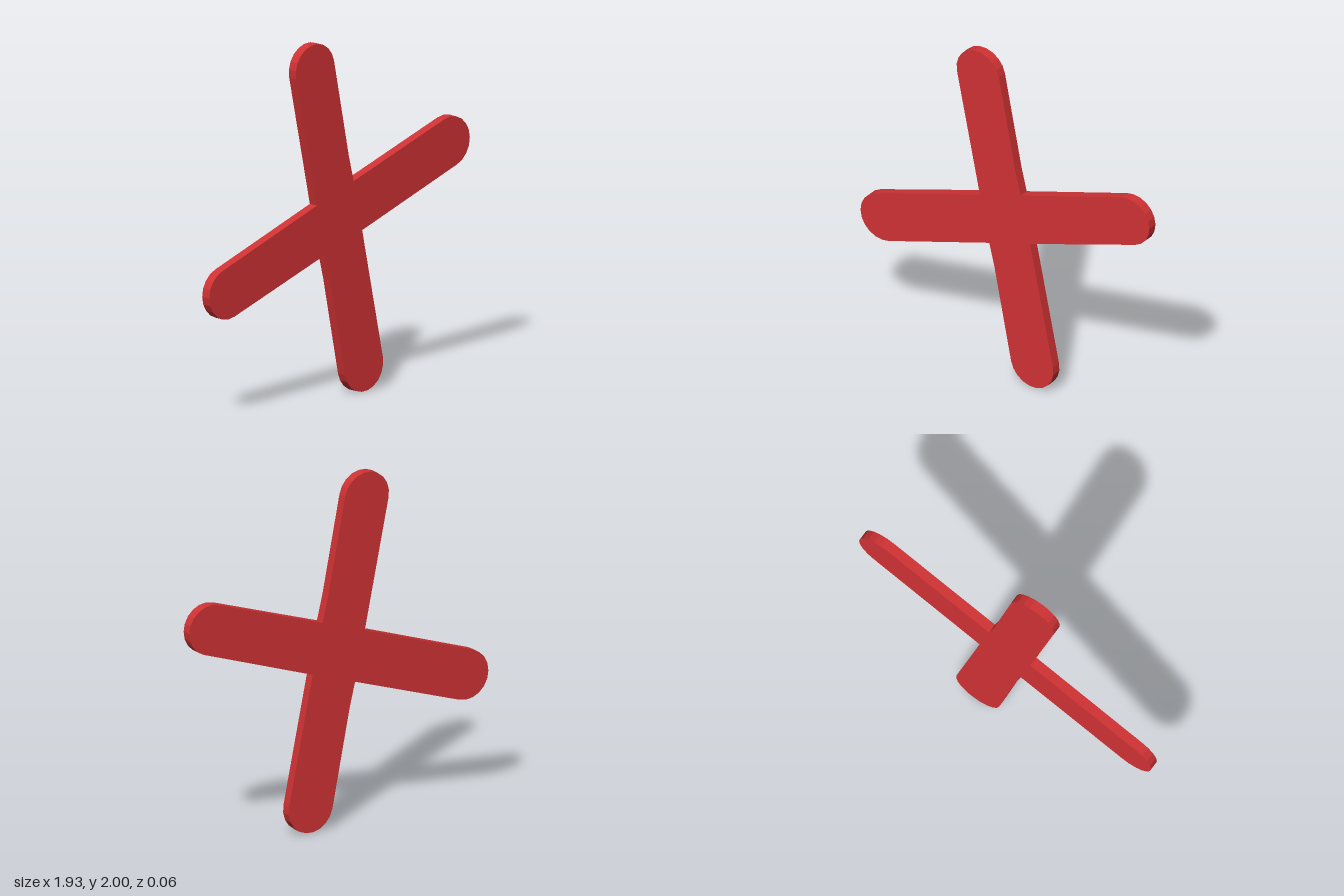
import * as THREE from 'three';

const THICKNESS = 0.056;

// Points of a half-round arm tip, from one tangent angle (degrees) to the opposite one
function roundTip(cx, cy, radius, startDeg, segments = 10) {
  return Array.from({ length: segments + 1 }, (_, i) => {
    const a = THREE.MathUtils.degToRad(startDeg + (180 * i) / segments);
    return new THREE.Vector2(cx + radius * Math.cos(a), cy + radius * Math.sin(a));
  });
}

export function createModel() {
  const model = new THREE.Group();
  model.name = 'tiltedCross';

  // Half of the outline: one side arm and the upper arm, counter-clockwise
  const half = [
    ...roundTip(0.824, 0.284, 0.142, -71),
    new THREE.Vector2(0.105, 0.188), // inner corner
    new THREE.Vector2(0.069, 0.335), // slight bend in the upright
    ...roundTip(-0.181, 0.858, 0.143, 11.5),
    new THREE.Vector2(-0.168, 0.097), // inner corner
  ];

  // The other half is the same outline turned by 180 degrees
  const outline = [...half, ...half.map((p) => p.clone().negate())];

  const geometry = new THREE.ExtrudeGeometry(new THREE.Shape(outline), {
    depth: THICKNESS,
    bevelEnabled: false,
  });
  geometry.translate(0, 0, -THICKNESS / 2);

  const cross = new THREE.Mesh(
    geometry,
    new THREE.MeshStandardMaterial({ color: 0xd03234 })
  );
  cross.name = 'crossPlate';
  cross.position.y = 1;
  model.add(cross);

  return model;
}
